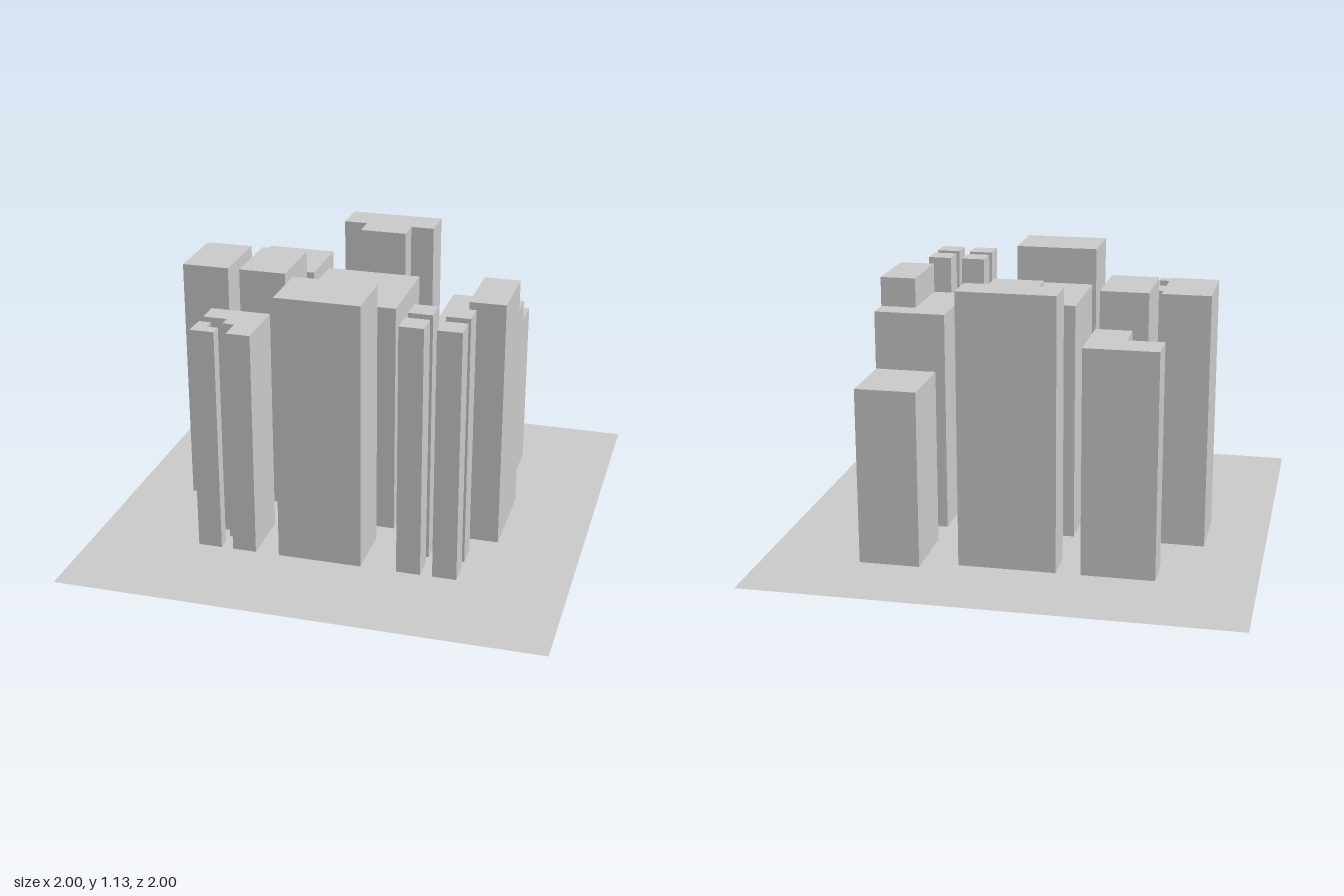
import * as THREE from 'three';
import { mergeGeometries } from 'three/addons/utils/BufferGeometryUtils.js';

const material = new THREE.MeshStandardMaterial({ color: 0xcccccc, flatShading: true, side: THREE.DoubleSide });

// Footprints are lists of [x, z] corners
const rect = (x0, z0, x1, z1) => [[x0, z0], [x0, z1], [x1, z1], [x1, z0]];

// Corners as plan points, ordered counter-clockwise seen from above
function plan(points) {
  const p = points.map(([x, z]) => new THREE.Vector2(x, -z));
  return THREE.ShapeUtils.isClockWise(p) ? p.reverse() : p;
}

// Horizontal upward-facing sheet, optionally with holes
function sheet(points, y, holes = []) {
  const shape = new THREE.Shape(plan(points));
  holes.forEach((h) => shape.holes.push(new THREE.Path(plan(h))));
  return new THREE.ShapeGeometry(shape).rotateX(-Math.PI / 2).translate(0, y, 0).toNonIndexed();
}

// Vertical walls around a footprint, open at top and bottom
function walls(points, y0, y1) {
  const p = plan(points);
  const pos = [];
  const uv = [];
  p.forEach((a, i) => {
    const b = p[(i + 1) % p.length];
    const quad = [[a, y0], [b, y0], [b, y1], [a, y0], [b, y1], [a, y1]];
    quad.forEach(([c, y]) => {
      pos.push(c.x, y, -c.y);
      uv.push(c === a ? 0 : 1, y);
    });
  });
  const g = new THREE.BufferGeometry();
  g.setAttribute('position', new THREE.Float32BufferAttribute(pos, 3));
  g.setAttribute('uv', new THREE.Float32BufferAttribute(uv, 2));
  g.computeVertexNormals();
  return g;
}

export function createModel() {
  const city = new THREE.Group();
  city.name = 'cityBlock';
  const footprints = [];

  const add = (name, parts) => {
    const mesh = new THREE.Mesh(mergeGeometries(parts), material);
    mesh.name = name;
    city.add(mesh);
  };
  // Hollow tower: walls and roof, open to the ground below
  const tower = (name, points, height) => {
    footprints.push(points);
    add(name, [walls(points, 0, height), sheet(points, height)]);
  };

  // Back row
  tower('backRightCornerTower', [[-0.6, -0.6], [-0.3, -0.6], [-0.3, -0.3], [-0.45, -0.3], [-0.45, -0.45], [-0.6, -0.45]], 0.935);
  tower('backTeeTower', [[-0.2, -0.6], [0.2, -0.6], [0.2, -0.45], [0.1, -0.45], [0.1, -0.35], [-0.1, -0.35], [-0.1, -0.45], [-0.2, -0.45]], 1.133);
  tower('backLeftTower', rect(0.35, -0.65, 0.6, -0.35), 0.733);

  // Middle row
  tower('twinTowerOuter', rect(-0.75, -0.2, -0.55, 0.1), 1.067);
  tower('twinTowerInner', rect(-0.5, -0.2, -0.3, 0.1), 1.067);
  tower('centreTower', rect(-0.2, -0.2, 0.2, 0.2), 1);

  // Stepped tower: low L-shaped roof around a taller corner
  const base = rect(0.35, -0.2, 0.65, 0.2);
  const top = rect(0.5, -0.1, 0.65, 0.2);
  const lowRoof = [[0.35, -0.2], [0.65, -0.2], [0.65, -0.1], [0.5, -0.1], [0.5, 0.2], [0.35, 0.2]];
  footprints.push(base);
  add('steppedTower', [walls(base, 0, 0.935), sheet(lowRoof, 0.935), walls(top, 0.935, 1.06), sheet(top, 1.06)]);

  // Front row
  tower('notchedTower', [[-0.55, 0.3], [-0.3, 0.3], [-0.3, 0.55], [-0.4, 0.55], [-0.4, 0.45], [-0.45, 0.45], [-0.45, 0.4], [-0.55, 0.4]], 0.963);
  tower('smallCornerTower', [[-0.55, 0.45], [-0.5, 0.45], [-0.5, 0.5], [-0.45, 0.5], [-0.45, 0.55], [-0.55, 0.55]], 0.963);
  tower('frontTower', rect(-0.2, 0.3, 0.15, 0.55), 1.133);
  for (const x of [0.3, 0.45]) {
    for (const z of [0.3, 0.45]) tower('slimTower', rect(x, z, x + 0.1, z + 0.1), 1.067);
  }

  // Tiny stud in the middle of the centre roof
  const stud = new THREE.Mesh(new THREE.BoxGeometry(0.006, 0.004, 0.006), material);
  stud.name = 'roofStud';
  stud.position.y = 1.002;
  city.add(stud);

  // Ground sheet, cut away under every tower
  add('groundSheet', [sheet(rect(-1, -1, 1, 1), 0, footprints)]);
  return city;
}
